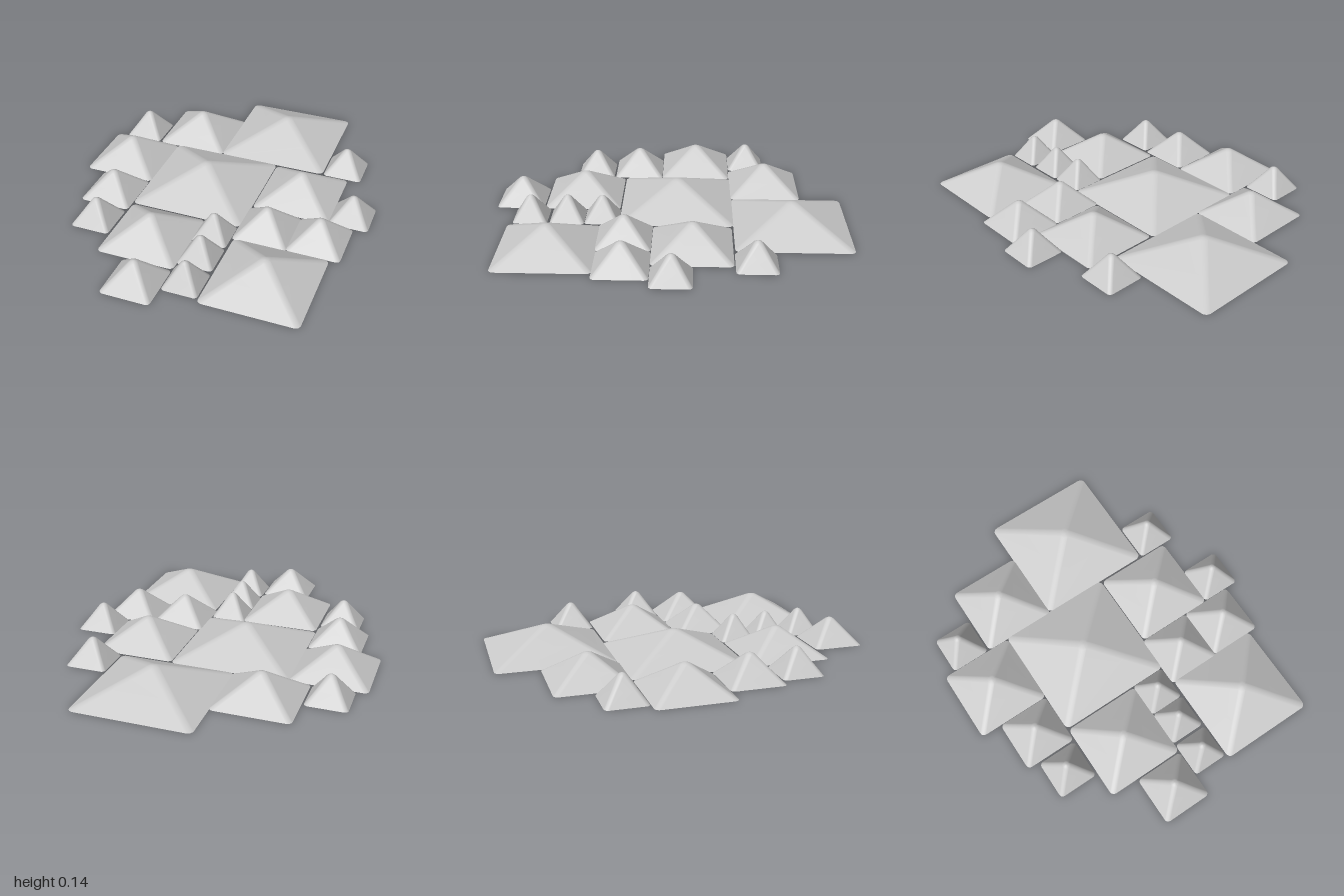
import * as THREE from 'three';

const material = new THREE.MeshStandardMaterial({ color: 0xcccccc });
const CORNER_STEPS = 4;

// Outline of a diamond with rounded corners: half diagonal d, corner radius c
function ring(d, c, y) {
  const pts = [];
  for (let k = 0; k < 4; k++) {
    const mid = k * Math.PI / 2;
    for (let i = 0; i <= CORNER_STEPS; i++) {
      const a = mid + (i / CORNER_STEPS - 0.5) * Math.PI / 2;
      pts.push(d * Math.cos(mid) + c * Math.cos(a), y, d * Math.sin(mid) + c * Math.sin(a));
    }
  }
  return pts;
}

// Low pyramid with rounded ridges, a softened tip and a flat underside
function pyramidGeometry(r) {
  const top = 0.142 - 0.0015 / r;
  const c = 0.016 + 0.03 * r;
  const d = r - c;
  const cap = 0.55 * c * top / r;
  const shoulder = top - cap;
  const rings = [
    ring(d, c, 0),
    ring(d * 0.5, c, shoulder * 0.5),
    ring(0.002, c, shoulder),
    ring(0.001, c * 0.6, shoulder + cap * 0.6),
    ring(0.0005, c * 0.25, shoulder + cap * 0.92),
  ];
  const n = 4 * (CORNER_STEPS + 1);
  const pos = rings.flat();
  const index = [];
  for (let j = 0; j < rings.length - 1; j++) {
    for (let i = 0; i < n; i++) {
      const a = j * n + i, b = j * n + (i + 1) % n;
      index.push(a, a + n, b, b, a + n, b + n);
    }
  }
  // tip
  const tip = pos.length / 3, last = (rings.length - 1) * n;
  pos.push(0, top, 0);
  for (let i = 0; i < n; i++) index.push(last + i, tip, last + (i + 1) % n);
  // underside, with its own vertices for a sharp rim
  const base = pos.length / 3;
  pos.push(...rings[0], 0, 0, 0);
  for (let i = 0; i < n; i++) index.push(base + n, base + i, base + (i + 1) % n);

  const g = new THREE.BufferGeometry();
  g.setAttribute('position', new THREE.Float32BufferAttribute(pos, 3));
  g.setIndex(index);
  g.computeVertexNormals();
  return g;
}

// x, z, half diagonal of every pyramid
const LAYOUT = [
  [-0.213, -0.867, 0.139], [0.07, -0.713, 0.267], [-0.402, -0.63, 0.267],
  [0.5, -0.443, 0.418], [-0.121, -0.205, 0.421], [-0.602, -0.355, 0.187],
  [-0.761, -0.155, 0.141], [0.651, -0.006, 0.141], [-0.555, 0.098, 0.284],
  [0.306, 0.1, 0.284], [-0.26, 0.222, 0.123], [0.003, 0.297, 0.195],
  [-0.391, 0.356, 0.124], [-0.746, 0.396, 0.176], [-0.529, 0.5, 0.123],
  [0.455, 0.392, 0.141], [0.204, 0.491, 0.19], [-0.185, 0.652, 0.344],
];

export function createModel() {
  const model = new THREE.Group();
  model.name = 'pyramidStuds';
  LAYOUT.forEach(([x, z, r], i) => {
    const stud = new THREE.Mesh(pyramidGeometry(r), material);
    stud.name = `pyramid${i + 1}`;
    stud.position.set(x, 0, z);
    model.add(stud);
  });
  return model;
}
